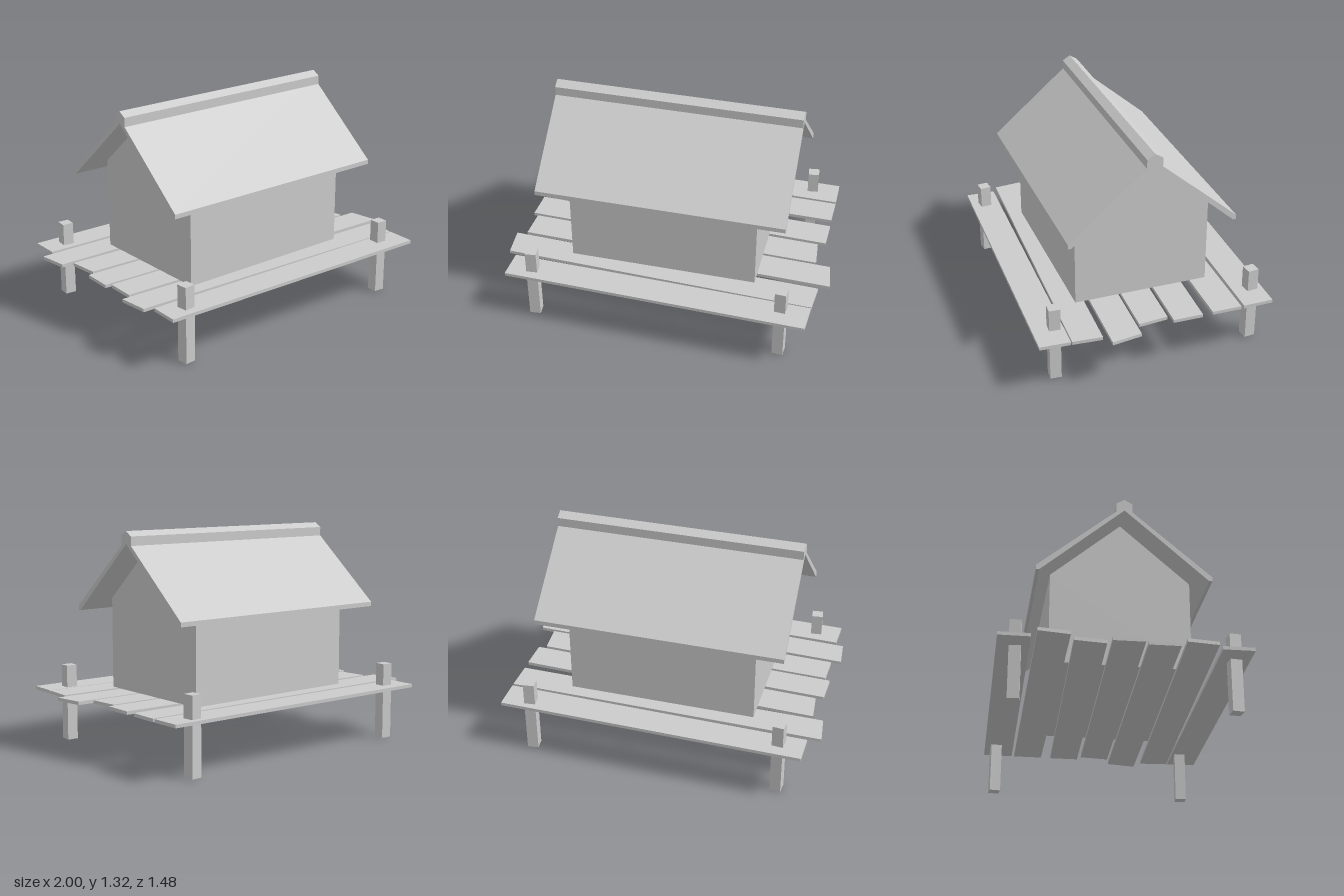
import * as THREE from 'three';

export function createModel() {
  const grey = new THREE.MeshStandardMaterial({ color: 0xcccccc });
  grey.name = 'plain grey';
  const model = new THREE.Group();
  model.name = 'hutOnDeck';

  const add = (parent, name, geometry) => {
    const mesh = new THREE.Mesh(geometry, grey);
    mesh.name = name;
    parent.add(mesh);
    return mesh;
  };
  const extrude = (points, depth) => new THREE.ExtrudeGeometry(
    new THREE.Shape(points.map(([x, y]) => new THREE.Vector2(x, y))),
    { depth, bevelEnabled: false });

  // Deck planks: corners (x, z) as back left, front left, front right, back right
  const planks = [
    [[-0.915, -0.74], [-0.92, -0.56], [0.925, -0.505], [0.925, -0.688]],
    [[-1.0, -0.535], [-0.98, -0.355], [0.92, -0.308], [0.925, -0.488]],
    [[-0.915, -0.33], [-0.9, -0.148], [0.917, -0.065], [0.922, -0.245]],
    [[-0.945, -0.125], [-0.953, 0.055], [0.887, 0.135], [0.872, -0.045]],
    [[-0.922, 0.075], [-0.93, 0.255], [1.0, 0.337], [0.975, 0.155]],
    [[-0.99, 0.275], [-0.975, 0.455], [0.917, 0.547], [0.932, 0.37]],
    [[-0.925, 0.485], [-0.933, 0.665], [0.905, 0.735], [0.916, 0.553]],
  ];
  planks.forEach((corners, i) => {
    const plank = add(model, `deckPlank${i + 1}`, extrude(corners.map(([x, z]) => [x, -z]), 0.02));
    plank.rotation.x = -Math.PI / 2;
    plank.position.y = 0.31;
  });

  // Corner posts: x, z, twist
  [
    [-0.78, 0.585, 0.09],
    [0.746, 0.6, -0.08],
    [-0.768, -0.633, -0.1],
    [0.757, -0.622, 0.1],
  ].forEach(([x, z, twist], i) => {
    const post = add(model, `post${i + 1}`, new THREE.BoxGeometry(0.067, 0.465, 0.067));
    post.position.set(x, 0.2325, z);
    post.rotation.y = twist;
  });

  // Hut, turned very slightly on the deck
  const hut = new THREE.Group();
  hut.name = 'hut';
  hut.position.set(-0.011, 0, -0.014);
  hut.rotation.y = -0.013;
  model.add(hut);

  // Side profiles (z, y) run along x; reversed sign keeps +z at the front
  const alongX = (name, profile, length) => {
    const mesh = add(hut, name, extrude(profile.map(([z, y]) => [-z, y]), length));
    mesh.rotation.y = Math.PI / 2;
    mesh.position.x = -length / 2;
    return mesh;
  };

  alongX('walls', [[-0.41, 0.33], [0.41, 0.33], [0.41, 0.884], [0, 1.242], [-0.41, 0.884]], 1.14);

  for (const [name, s] of [['frontRoof', 1], ['backRoof', -1]]) {
    alongX(name, [[0, 1.242], [0.487, 0.814], [0.506, 0.814], [0.506, 0.841], [0, 1.272]]
      .map(([z, y]) => [s * z, y]), 1.5);
  }

  // Ridge beam capping the roof
  alongX('ridgeCap', [[-0.047, 1.229], [0, 1.245], [0.047, 1.229], [0.047, 1.286],
    [0, 1.315], [-0.047, 1.286]], 1.5);

  return model;
}
